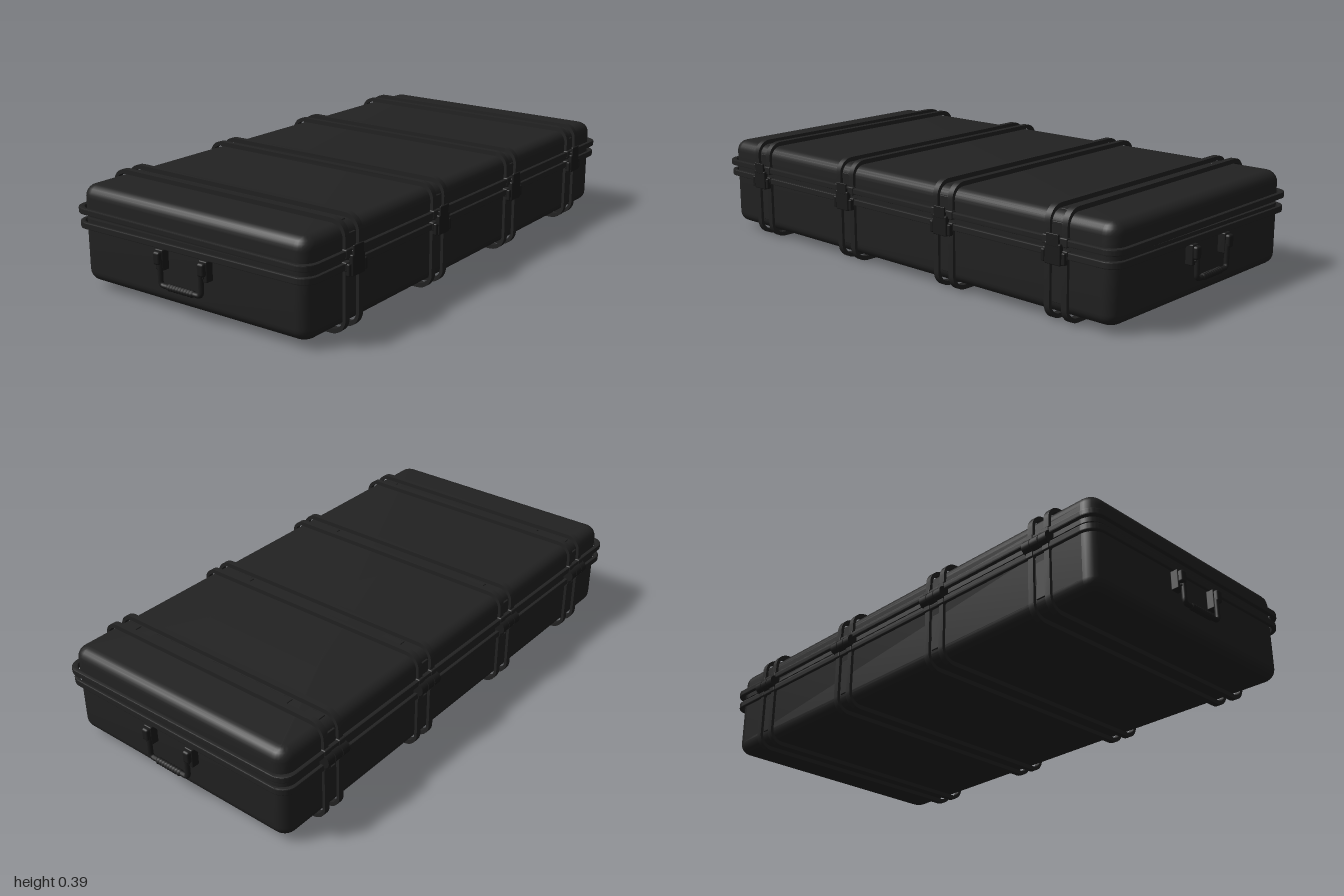
import * as THREE from 'three';
import { toCreasedNormals } from 'three/addons/utils/BufferGeometryUtils.js';
import { RoundedBoxGeometry } from 'three/addons/geometries/RoundedBoxGeometry.js';

const shellMat = new THREE.MeshStandardMaterial({ name: 'black plastic', color: 0x222222 });
const trimMat = new THREE.MeshStandardMaterial({ name: 'dark hardware', color: 0x1b1b1b });
const STRAPS = [-0.74, -0.25, 0.25, 0.74];
const PIVOT = [-0.5, 0.255];

function add(parent, name, geometry, material, x = 0, y = 0, z = 0) {
  const mesh = new THREE.Mesh(geometry, material);
  mesh.name = name;
  mesh.position.set(x, y, z);
  parent.add(mesh);
  return mesh;
}
const box = (w, h, d, r = 0.004) => new RoundedBoxGeometry(w, h, d, 2, Math.min(r, w / 2.1, h / 2.1, d / 2.1));

// closed tub lofted through rounded rectangles; levels are [y, inset]
function tub(halfX, halfZ, radius, levels) {
  const pos = [], idx = [], seg = 6, n = 4 * (seg + 1);
  for (const [y, inset] of levels) {
    const r = Math.max(radius - inset, 0.006);
    const cx = halfX - inset - r, cz = halfZ - inset - r;
    for (let c = 0; c < 4; c++) for (let s = 0; s <= seg; s++) {
      const a = (c + s / seg) * Math.PI / 2;
      const sx = c === 0 || c === 3 ? 1 : -1, sz = c < 2 ? -1 : 1;
      pos.push(sx * cx + r * Math.cos(a), y, sz * cz - r * Math.sin(a));
    }
  }
  const last = levels.length - 1, bottom = pos.length / 3, top = bottom + 1;
  pos.push(0, levels[0][0], 0, 0, levels[last][0], 0);
  for (let j = 0; j < n; j++) {
    const k = (j + 1) % n;
    for (let i = 0; i < last; i++) {
      const a = i * n + j, b = i * n + k;
      idx.push(a, b, b + n, a, b + n, a + n);
    }
    idx.push(bottom, k, j, top, last * n + j, last * n + k);
  }
  const g = new THREE.BufferGeometry();
  g.setAttribute('position', new THREE.Float32BufferAttribute(pos, 3));
  g.setIndex(idx);
  return toCreasedNormals(g, 0.5);
}

// quarter-round edge levels starting at the flat face
function edgeLevels(yFace, dir, r) {
  return Array.from({ length: 7 }, (_, i) => {
    const a = i / 6 * Math.PI / 2;
    return [yFace + dir * r * (1 - Math.cos(a)), r * (1 - Math.sin(a))];
  });
}

function roundRect(path, w, h, r) {
  path.moveTo(w - r, -h);
  path.absarc(w - r, -h + r, r, -Math.PI / 2, 0, false);
  path.absarc(w - r, h - r, r, 0, Math.PI / 2, false);
  path.absarc(-w + r, h - r, r, Math.PI / 2, Math.PI, false);
  path.absarc(-w + r, -h + r, r, Math.PI, Math.PI * 1.5, false);
  return path;
}

// flange running round the opening
function rim(halfX, halfZ, height) {
  const s = roundRect(new THREE.Shape(), halfX, halfZ, 0.055);
  s.holes.push(roundRect(new THREE.Path(), 0.489, 0.959, 0.05));
  const b = 0.004;
  const g = new THREE.ExtrudeGeometry(s, { depth: height - 2 * b, bevelThickness: b, bevelSize: b, bevelOffset: -b, bevelSegments: 2, curveSegments: 8 });
  g.translate(0, 0, b - height / 2);
  g.rotateX(-Math.PI / 2);
  return toCreasedNormals(g, 0.5);
}

// U-shaped rib hugging a shell, from the open end round the closed face
function rib(yOpen, yClosed, width) {
  const d = Math.sign(yOpen - yClosed), W = 0.5, w = 0.489, t = 0.016, R = 0.056, r = 0.042;
  const s = new THREE.Shape();
  const corner = (x, y, rad, a0, a1) => {
    for (let i = 0; i <= 8; i++) {
      const a = a0 + (a1 - a0) * i / 8;
      s.lineTo(x + rad * Math.cos(a), y - d * rad * Math.sin(a));
    }
  };
  const H = Math.PI / 2, yo = yClosed + d * R, yi = yClosed + d * (t + r);
  s.moveTo(-W, yOpen);
  corner(-W + R, yo, R, 2 * H, H);
  corner(W - R, yo, R, H, 0);
  s.lineTo(W, yOpen);
  s.lineTo(w, yOpen);
  corner(w - r, yi, r, 0, H);
  corner(-w + r, yi, r, H, 2 * H);
  s.lineTo(-w, yOpen);
  const g = new THREE.ExtrudeGeometry(s, { depth: width, bevelEnabled: false });
  g.translate(0, 0, -width / 2);
  return toCreasedNormals(g, 0.5);
}

// folding carry handle, built facing +z
function handle() {
  const g = new THREE.Group();
  g.name = 'carryHandle';
  for (const x of [-0.095, 0.095]) {
    add(g, 'handleBracket', box(0.034, 0.07, 0.03), trimMat, x, 0.185, 0.968);
    add(g, 'handlePivot', box(0.028, 0.045, 0.022, 0.008), trimMat, x, 0.193, 0.987);
    add(g, 'bracketScrew', new THREE.CylinderGeometry(0.006, 0.006, 0.006, 12).rotateX(Math.PI / 2), trimMat, x, 0.166, 0.984);
  }
  const v = (x, y) => new THREE.Vector3(x, y, 0.985);
  const path = new THREE.CurvePath();
  path.add(new THREE.LineCurve3(v(-0.088, 0.185), v(-0.088, 0.118)));
  path.add(new THREE.QuadraticBezierCurve3(v(-0.088, 0.118), v(-0.088, 0.102), v(-0.072, 0.102)));
  path.add(new THREE.LineCurve3(v(-0.072, 0.102), v(0.072, 0.102)));
  path.add(new THREE.QuadraticBezierCurve3(v(0.072, 0.102), v(0.088, 0.102), v(0.088, 0.118)));
  path.add(new THREE.LineCurve3(v(0.088, 0.118), v(0.088, 0.185)));
  add(g, 'handleBar', new THREE.TubeGeometry(path, 60, 0.009, 10), trimMat);
  for (let i = 0; i < 9; i++) {
    const ring = new THREE.CapsuleGeometry(0.0125, 0.001, 3, 12).rotateZ(Math.PI / 2);
    add(g, 'gripRing', ring, trimMat, -0.048 + i * 0.012, 0.102, 0.985);
  }
  return g;
}

export function createModel() {
  const model = new THREE.Group();
  model.name = 'hardCase';
  const base = new THREE.Group(), lid = new THREE.Group();
  base.name = 'base';
  lid.name = 'lid';
  model.add(base, lid);

  // shells and flanges
  add(base, 'baseShell', tub(0.485, 0.955, 0.05, [...edgeLevels(0.025, 1, 0.04), [0.25, 0]]), shellMat);
  add(lid, 'lidShell', tub(0.485, 0.955, 0.05, [[0.258, 0], ...edgeLevels(0.366, -1, 0.042).reverse()]), shellMat);
  add(base, 'baseRim', rim(0.503, 0.972, 0.024), shellMat, 0, 0.229, 0);
  add(lid, 'lidRim', rim(0.505, 0.976, 0.022), shellMat, 0, 0.28, 0);

  STRAPS.forEach((z, i) => {
    // paired ribs round both halves
    for (const o of [-0.035, 0.035]) {
      add(base, 'baseRib', rib(0.225, 0, 0.022), shellMat, 0, 0, z + o);
      add(lid, 'lidRib', rib(0.282, 0.386, 0.022), shellMat, 0, 0, z + o);
      for (const s of [-1, 1]) {
        add(base, 'baseRibFoot', box(0.02, 0.03, 0.03), shellMat, s * 0.497, 0.229, z + o);
        add(lid, 'lidRibFoot', box(0.02, 0.03, 0.03), shellMat, s * 0.498, 0.28, z + o);
      }
    }
    // inset pads between the ribs
    const pads = i === 0 || i === 3 ? [[0, 0.63], [-0.42, 0.06], [0.42, 0.06]] : [[-0.35, 0.08], [0.35, 0.08]];
    for (const [x, w] of pads) add(lid, 'lidPad', box(w, 0.008, 0.042, 0.002), shellMat, x, 0.3655, z);
    for (const s of [-1, 1]) {
      add(lid, 'lidSidePad', box(0.008, 0.045, 0.044, 0.002), shellMat, s * 0.486, 0.314, z);
      add(base, 'baseSidePad', box(0.008, 0.13, 0.044, 0.002), shellMat, s * 0.486, 0.13, z);
    }
    // hinge knuckles on the right side
    for (const o of [-0.036, 0, 0.036]) {
      const knuckle = new THREE.CylinderGeometry(0.024, 0.024, 0.033, 20).rotateX(Math.PI / 2);
      add(model, 'hingeKnuckle', knuckle, trimMat, PIVOT[0], PIVOT[1], z + o);
    }
    // draw latch on the left side
    add(model, 'latchBody', box(0.018, 0.07, 0.064), trimMat, 0.51, 0.231, z);
    add(model, 'latchLever', box(0.007, 0.04, 0.05, 0.002), trimMat, 0.516, 0.276, z);
    add(model, 'latchHook', box(0.022, 0.012, 0.046, 0.003), trimMat, 0.505, 0.272, z);
    for (const o of [-0.041, 0.041])
      add(model, 'latchEar', box(0.018, 0.04, 0.014), trimMat, 0.508, 0.22, z + o);
  });

  // carry handles at both ends
  const front = handle(), back = handle();
  back.rotation.y = Math.PI;
  base.add(front, back);

  // lid rests slightly ajar about its hinge
  const inner = new THREE.Group();
  inner.name = 'lidParts';
  inner.add(...lid.children.slice());
  inner.position.set(-PIVOT[0], -PIVOT[1], 0);
  lid.add(inner);
  lid.position.set(PIVOT[0], PIVOT[1], 0);
  lid.rotation.z = -0.01;
  return model;
}
